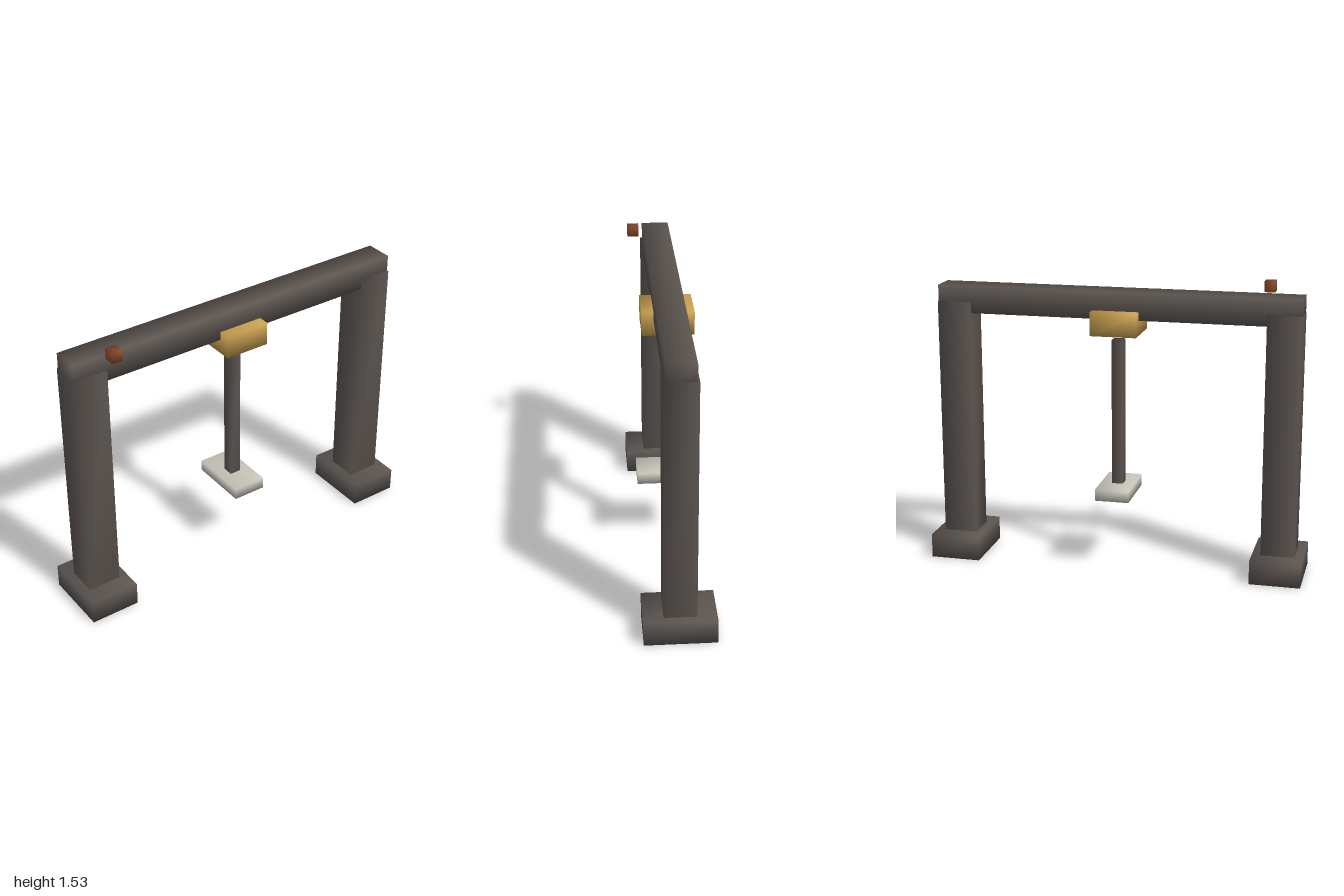
import * as THREE from 'three';
import { mergeVertices } from 'three/addons/utils/BufferGeometryUtils.js';

const material = (color) => new THREE.MeshStandardMaterial({ color });

// Box given by its extents, with corners welded for soft shading
function block(name, mat, [x0, x1], [y0, y1], [z0, z1]) {
  let geo = new THREE.BoxGeometry(x1 - x0, y1 - y0, z1 - z0);
  geo.deleteAttribute('normal');
  geo.deleteAttribute('uv');
  geo = mergeVertices(geo);
  geo.computeVertexNormals();
  const mesh = new THREE.Mesh(geo, mat);
  mesh.name = name;
  mesh.position.set((x0 + x1) / 2, (y0 + y1) / 2, (z0 + z1) / 2);
  return mesh;
}

export function createModel() {
  const model = new THREE.Group();
  model.name = 'gantryCrane';
  const steel = material(0x5c5550);
  const gold = material(0xc8a050);
  const pale = material(0xc8c5ba);
  const rust = material(0x8a4a2a);

  // Two supports: a foot and a post at each end
  for (const [label, side] of [['front', 1], ['back', -1]]) {
    const support = new THREE.Group();
    support.name = label + 'Support';
    support.position.z = side * 0.867;
    support.add(
      block('foot', steel, [-0.182, 0.182], [0, 0.127], [-0.133, 0.133]),
      block('post', steel, [-0.083, 0.083], [0.127, 1.393], [-0.089, 0.089])
    );
    model.add(support);
  }

  // Overhead beam and the trolley around its underside
  model.add(block('beam', steel, [-0.073, 0.073], [1.336, 1.48], [-0.955, 0.955]));
  model.add(block('trolley', gold, [-0.133, 0.133], [1.257, 1.38], [-0.121, 0.121]));

  // Hanging rod with its plate
  const hoist = new THREE.Group();
  hoist.name = 'hoist';
  hoist.add(
    block('rod', steel, [-0.03, 0.03], [0.443, 1.22], [-0.03, 0.03]),
    block('plate', pale, [-0.161, 0.161], [0.384, 0.445], [-0.09, 0.09])
  );
  model.add(hoist);

  // Small signal lamp beside the front end of the beam
  model.add(block('signalLamp', rust, [0.102, 0.163], [1.479, 1.535], [0.737, 0.793]));

  return model;
}
